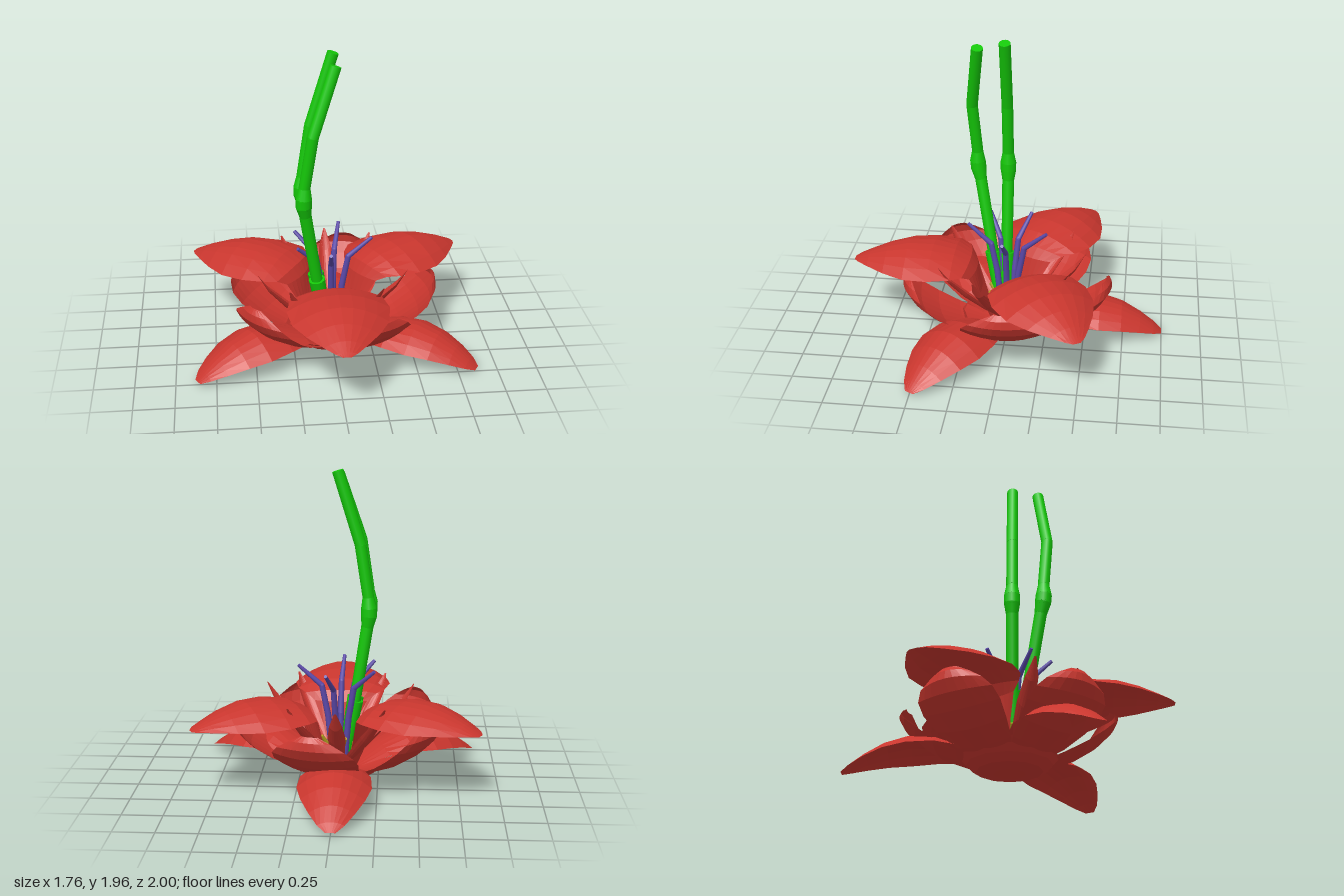
import * as THREE from 'three';

const mat = (color, extra = {}) => new THREE.MeshStandardMaterial({ color, ...extra });
const red = mat(0xc9362e, { flatShading: true, side: THREE.DoubleSide });
const green = mat(0x14c808);
const purple = mat(0x5a48a8);
const yellow = mat(0xb0a020);

// Petal sheet pointing along +z. Rows are [radius, height, half width, edge lift, edge pull towards the centre].
function petalGeometry(rows, cols = 8) {
  const pos = [], idx = [];
  rows.forEach(([r, y, w, lift, pull = 0], i) => {
    for (let j = 0; j <= cols; j++) {
      const u = (j / cols) * 2 - 1;
      pos.push(u * w, y + lift * u * u, r - pull * u * u);
      if (i && j) {
        const d = i * (cols + 1) + j, c = d - 1, b = d - cols - 1, a = b - 1;
        idx.push(a, c, b, b, c, d);
      }
    }
  });
  const g = new THREE.BufferGeometry();
  g.setAttribute('position', new THREE.Float32BufferAttribute(pos, 3));
  g.setIndex(idx);
  g.computeVertexNormals();
  return g;
}

// Ring of petals at azimuths in degrees, measured from +x towards +z
function whorl(name, rows, azimuths) {
  const group = new THREE.Group();
  group.name = name + 's';
  const geometry = petalGeometry(rows);
  for (const a of azimuths) {
    const m = new THREE.Mesh(geometry, red);
    m.name = name;
    m.rotation.y = Math.PI / 2 - THREE.MathUtils.degToRad(a);
    group.add(m);
  }
  return group;
}

// Jointed rod through points [x, y, z, radius]
function rod(name, points, material, sides = 12) {
  const group = new THREE.Group();
  group.name = name;
  const up = new THREE.Vector3(0, 1, 0);
  for (let i = 1; i < points.length; i++) {
    const p = points[i - 1], q = points[i];
    const a = new THREE.Vector3(...p.slice(0, 3)), b = new THREE.Vector3(...q.slice(0, 3));
    const dir = b.clone().sub(a);
    const m = new THREE.Mesh(new THREE.CylinderGeometry(q[3], p[3], dir.length(), sides), material);
    m.name = name + 'Segment';
    m.position.copy(a).add(b).multiplyScalar(0.5);
    m.quaternion.setFromUnitVectors(up, dir.normalize());
    group.add(m);
    if (i < points.length - 1) {
      const joint = new THREE.Mesh(new THREE.SphereGeometry(q[3] * 0.99, sides, 8), material);
      joint.name = name + 'Joint';
      joint.position.copy(b);
      group.add(joint);
    }
  }
  return group;
}

export function createModel() {
  const flower = new THREE.Group();
  flower.name = 'flower';

  // Shallow bowl that carries the petals
  const bowl = [[0, 0.01], [0.1, 0.015], [0.2, 0.03], [0.26, 0.07], [0.3, 0.115]];
  const base = new THREE.Mesh(
    new THREE.LatheGeometry(bowl.map(([x, y]) => new THREE.Vector2(x, y)), 12), red);
  base.name = 'base';
  flower.add(base);

  // Drooping outer petals
  flower.add(whorl('lowerPetal', [
    [0.12, 0.07, 0.1, 0], [0.28, 0.17, 0.17, -0.03], [0.44, 0.235, 0.215, -0.08],
    [0.6, 0.245, 0.225, -0.1], [0.74, 0.205, 0.19, -0.08], [0.86, 0.14, 0.135, -0.05],
    [0.95, 0.075, 0.08, -0.02], [1.0, 0.03, 0.03, 0],
  ], [-90, 30, 150]));

  // Upright cupped petals with rounded tips
  flower.add(whorl('middlePetal', [
    [0.14, 0.05, 0.11, 0.02], [0.3, 0.1, 0.19, 0.03, 0.02], [0.44, 0.16, 0.24, 0.04, 0.03],
    [0.56, 0.24, 0.265, 0.03, 0.05], [0.64, 0.32, 0.255, 0.01, 0.06], [0.68, 0.39, 0.21, -0.01, 0.06],
    [0.675, 0.44, 0.13, -0.01, 0.04], [0.65, 0.47, 0.05, 0, 0.01],
  ], [-77, -3, 68, 141, 211]));

  // Broad domed top petals on tapering claws
  flower.add(whorl('upperPetal', [
    [0.1, 0.08, 0.06, 0], [0.17, 0.28, 0.11, 0], [0.2, 0.43, 0.17, 0, -0.03],
    [0.24, 0.5, 0.23, -0.03, -0.03], [0.34, 0.55, 0.285, -0.07], [0.48, 0.578, 0.315, -0.1],
    [0.64, 0.578, 0.29, -0.11], [0.78, 0.545, 0.215, -0.08], [0.9, 0.5, 0.125, -0.04],
    [0.97, 0.465, 0.065, -0.01], [1.0, 0.45, 0.025, 0],
  ], [90, 210, 330]));

  // Slender folded inner petals
  flower.add(whorl('innerPetal', [
    [0.05, 0.08, 0.025, 0.02], [0.18, 0.18, 0.045, 0.04], [0.32, 0.31, 0.055, 0.05],
    [0.43, 0.44, 0.04, 0.03], [0.5, 0.57, 0.006, 0],
  ], [-126, -90, -54, 19, 55, 125, 161]));

  // Two jointed stems, each with a swollen knot and a socket. Points are [x, y, z of each stem, radius].
  const stem = [
    [-0.03, 0.1, [0.02, 0.04], 0.036], [-0.1, 0.5, [0.02, 0.11], 0.036],
    [-0.175, 0.98, [0.02, 0.195], 0.038], [-0.185, 1.05, [0.02, 0.21], 0.05],
    [-0.185, 1.1, [0.02, 0.215], 0.05], [-0.18, 1.17, [0.02, 0.215], 0.036],
    [-0.13, 1.5, [0.02, 0.24], 0.036], [0.01, 1.955, [0.02, 0.185], 0.036],
  ];
  for (const k of [0, 1]) {
    const path = stem.map(([x, y, z, r], i) => [x, y - (i === 7 ? 0.035 * k : 0), z[k], r]);
    flower.add(rod('stem', path, green));
    flower.add(rod('stemSocket', [[...path[0].slice(0, 3), 0.035], [...path[1].slice(0, 3), 0.052]], green));
  }

  // Bent stamens with short filaments between them
  for (const azimuth of [2, -74, -150, 148, 95]) {
    const at = (r, y, radius, turn = 0) => {
      const a = THREE.MathUtils.degToRad(azimuth + turn);
      return [r * Math.cos(a), y, r * Math.sin(a), radius];
    };
    flower.add(rod('stamen', [at(0.04, 0.1, 0.02), at(0.07, 0.4, 0.02), at(0.11, 0.6, 0.018), at(0.26, 0.73, 0.011)], purple, 8));
    flower.add(rod('filament', [at(0.04, 0.08, 0.012, -36), at(0.08, 0.22, 0.014, -36), at(0.13, 0.29, 0.012, -36)], yellow, 6));
  }
  return flower;
}
